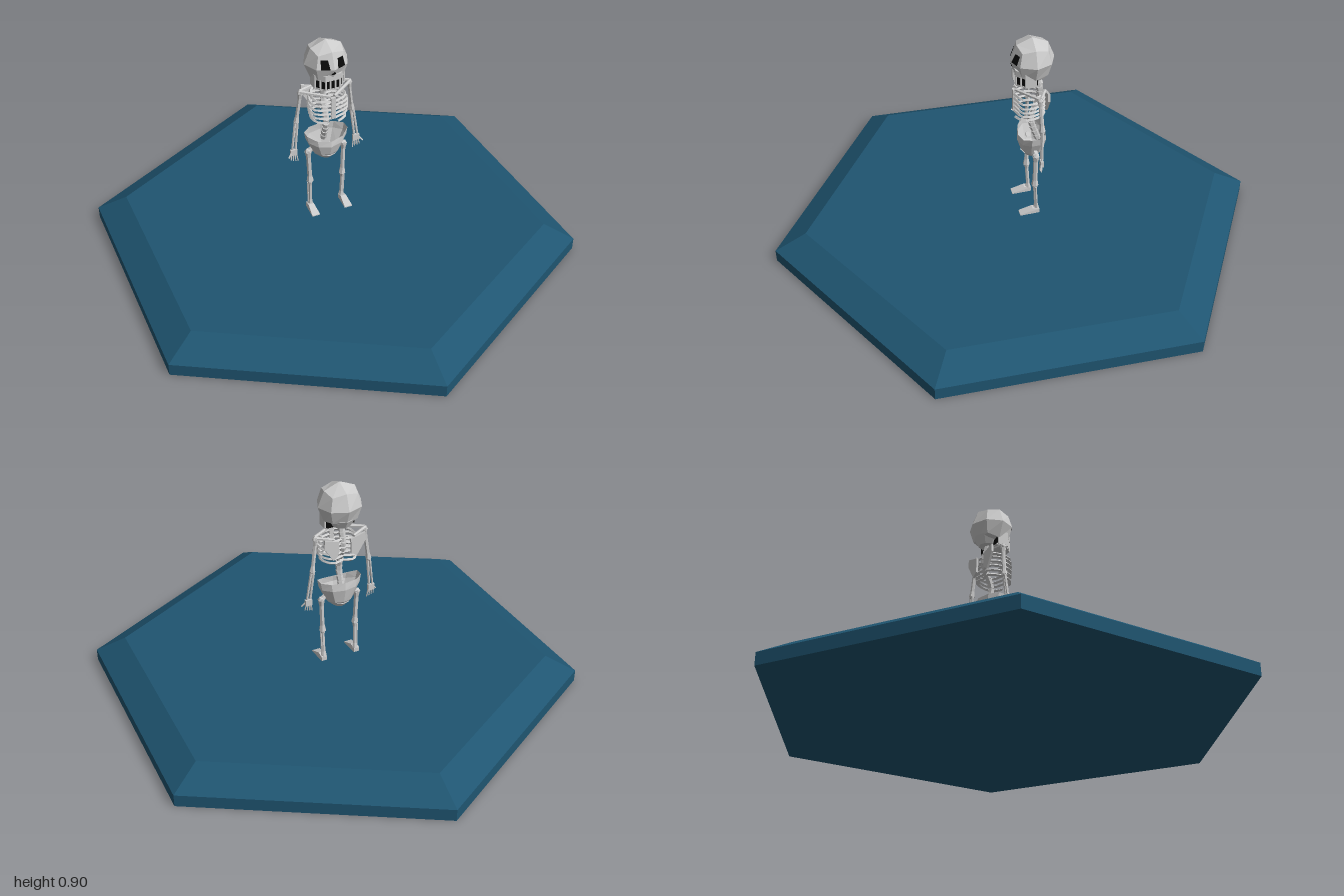
import * as THREE from 'three';

const bone = new THREE.MeshStandardMaterial({ color: 0xcccccc, flatShading: true, side: THREE.DoubleSide });
const dark = new THREE.MeshStandardMaterial({ color: 0x080808, flatShading: true, side: THREE.DoubleSide });
const blue = new THREE.MeshStandardMaterial({ color: 0x1f5571, flatShading: true });
const V = (x, y, z) => new THREE.Vector3(x, y, z);

function add(parent, name, geometry, material = bone, x = 0, y = 0, z = 0) {
  const mesh = new THREE.Mesh(geometry, material);
  mesh.name = name;
  mesh.position.set(x, y, z);
  parent.add(mesh);
  return mesh;
}

// Tapered rod between two points
function rod(parent, name, a, b, r0, r1 = r0, sides = 6) {
  const mesh = add(parent, name, new THREE.CylinderGeometry(r1, r0, a.distanceTo(b), sides));
  mesh.position.copy(a).lerp(b, 0.5);
  mesh.quaternion.setFromUnitVectors(V(0, 1, 0), b.clone().sub(a).normalize());
  return mesh;
}

// Slim shaft with thicker ends
function longBone(parent, name, a, b, r) {
  const p = a.clone().lerp(b, 0.18), q = a.clone().lerp(b, 0.82);
  rod(parent, name, p, q, r);
  rod(parent, name + 'Top', a, p, r * 1.5, r);
  rod(parent, name + 'End', q, b, r, r * 1.5);
}

const joint = (parent, name, p, r) => add(parent, name, new THREE.IcosahedronGeometry(r, 0), bone, p.x, p.y, p.z);

// Flat outline extruded upward from y0 to y1, outline points are [x, z]
function slab(parent, name, outline, y0, y1, material = bone) {
  const shape = new THREE.Shape(outline.map(([x, z]) => new THREE.Vector2(x, -z)));
  const geometry = new THREE.ExtrudeGeometry(shape, { depth: y1 - y0, bevelEnabled: false });
  geometry.rotateX(-Math.PI / 2);
  return add(parent, name, geometry, material, 0, y0, 0);
}

function buildBase(root) {
  add(root, 'baseRim', new THREE.CylinderGeometry(1, 1, 0.05, 6), blue, 0, 0.025, 0);
  add(root, 'baseTop', new THREE.CylinderGeometry(0.872, 1, 0.068, 6), blue, 0, 0.084, 0);
}

function buildHead(root) {
  const head = new THREE.Group();
  head.name = 'head';
  root.add(head);
  const R = 0.091, cy = 0.812, cz = -0.058;

  // Cranium: a cube of quads pushed out to a sphere
  const cube = new THREE.BoxGeometry(2, 2, 2, 2, 2, 2);
  const p = cube.attributes.position;
  for (let i = 0; i < p.count; i++) {
    const v = V(p.getX(i), p.getY(i), p.getZ(i)).normalize().multiplyScalar(R);
    p.setXYZ(i, v.x, v.y, v.z * 0.96);
  }
  add(head, 'cranium', cube, bone, 0, cy, cz);

  // Dark openings laid on the facets of the face
  const opening = (name, points) => {
    const g = new THREE.ShapeGeometry(new THREE.Shape(points.map(([x, y]) => new THREE.Vector2(x, y))));
    const q = g.attributes.position;
    for (let i = 0; i < q.count; i++) {
      const u = Math.abs(q.getX(i)) / R, v = Math.abs(q.getY(i) - cy) / R;
      q.setZ(i, cz + 0.96 * R * (1 - 0.405 * (u + v)) + 0.004);
    }
    add(head, name, g, dark);
  };
  for (const s of [-1, 1]) {
    opening('eyeSocket', [[s * 0.016, 0.814], [s * 0.05, 0.814], [s * 0.046, 0.85], [s * 0.02, 0.85]]);
  }
  opening('noseHole', [[-0.01, 0.79], [0, 0.788], [0.01, 0.79], [0, 0.806]]);

  // Jaw: dark mouth between upper jaw and chin, with teeth around it
  const arc = [[-0.063, -0.065], [-0.063, -0.02], [-0.032, 0.014], [0.032, 0.014], [0.063, -0.02], [0.063, -0.065]];
  slab(head, 'upperJaw', arc, 0.757, 0.783);
  slab(head, 'mouth', arc.map(([x, z]) => [x * 0.94, z - 0.003]), 0.72, 0.76, dark);
  slab(head, 'chin', arc.map(([x, z]) => [x * 0.96, z - 0.002]), 0.715, 0.722);
  for (const s of [-1, 1]) {
    add(head, 'jawSide', new THREE.BoxGeometry(0.006, 0.06, 0.045), bone, s * 0.061, 0.748, -0.04);
    for (const [x, z] of [[0.01, 0.012], [0.029, 0.012], [0.046, -0.004]]) {
      add(head, 'tooth', new THREE.BoxGeometry(0.006, 0.044, 0.006), bone, s * x, 0.74, z);
    }
  }
  add(head, 'skullBase', new THREE.CylinderGeometry(0.055, 0.035, 0.035, 8), bone, 0, 0.745, -0.075);
}

function buildTorso(root) {
  const torso = new THREE.Group();
  torso.name = 'torso';
  root.add(torso);

  // Vertebrae along a gently curved spine
  const spine = new THREE.CatmullRomCurve3([V(0, 0.74, -0.07), V(0, 0.64, -0.09), V(0, 0.54, -0.055), V(0, 0.43, -0.085)]);
  const count = 15;
  for (let i = 0; i < count; i++) {
    const a = spine.getPoint(i / count), b = spine.getPoint((i + 0.9) / count);
    rod(torso, 'vertebra', a, b, 0.014, 0.012);
  }

  // Six pairs of ribs, sternum
  add(torso, 'sternum', new THREE.BoxGeometry(0.02, 0.095, 0.01), bone, 0, 0.633, 0.014);
  for (let i = 0; i < 6; i++) {
    const y = 0.669 - i * 0.019, w = [0.066, 0.074, 0.076, 0.075, 0.072, 0.067][i];
    const tip = i < 5 ? 0.008 : 0.025;
    for (const s of [-1, 1]) {
      const path = new THREE.CatmullRomCurve3([
        V(0, y + 0.006, -0.088), V(s * w * 0.6, y + 0.004, -0.098), V(s * w, y, -0.055),
        V(s * w * 0.9, y - 0.004, -0.008), V(s * tip, y - 0.006, 0.014)]);
      add(torso, 'rib', new THREE.TubeGeometry(path, 10, 0.006, 4), bone);
    }
  }

  // Shoulder blades and collar bones
  for (const s of [-1, 1]) {
    const outline = [[0.025, 0.675], [0.085, 0.693], [0.088, 0.66], [0.05, 0.598], [0.028, 0.615]];
    const shape = new THREE.Shape(outline.map(([x, y]) => new THREE.Vector2(s * x, y)));
    add(torso, 'shoulderBlade', new THREE.ExtrudeGeometry(shape, { depth: 0.009, bevelEnabled: false }), bone, 0, 0, -0.11);
    rod(torso, 'collarBone', V(s * 0.008, 0.682, 0.008), V(s * 0.108, 0.69, -0.062), 0.007);
    rod(torso, 'shoulderSpine', V(s * 0.04, 0.682, -0.1), V(s * 0.108, 0.69, -0.068), 0.007);
  }
}

function buildPelvis(root) {
  // Open bowl: rings of [x radius, z radius, side height, front height]
  const rings = [[0.092, 0.055, 0.487, 0.462], [0.086, 0.058, 0.455, 0.437], [0.058, 0.045, 0.395, 0.395], [0.026, 0.026, 0.366, 0.368]];
  const n = 10, g = new THREE.CylinderGeometry(1, 1, 1, n, rings.length - 1, true);
  const p = g.attributes.position;
  for (let i = 0; i < p.count; i++) {
    const [rx, rz, side, front] = rings[Math.floor(i / (n + 1))];
    const x = p.getX(i), z = p.getZ(i);
    const k = Math.max(0, z) * (1 - x * x);
    p.setXYZ(i, x * rx, side + (front - side) * Math.min(1, k * 1.3), z * rz - 0.058);
  }
  add(root, 'pelvis', g);
  add(root, 'pelvisFloor', new THREE.CylinderGeometry(0.045, 0.026, 0.02, n), bone, 0, 0.377, -0.058);
}

function buildArm(root, s) {
  const arm = new THREE.Group();
  arm.name = s > 0 ? 'leftArm' : 'rightArm';
  root.add(arm);
  const shoulder = V(s * 0.104, 0.682, -0.066), elbow = V(s * 0.121, 0.55, -0.072), wrist = V(s * 0.136, 0.425, -0.066);
  joint(arm, 'shoulder', shoulder, 0.014);
  longBone(arm, 'upperArm', shoulder, elbow, 0.008);
  joint(arm, 'elbow', elbow, 0.012);
  for (const d of [-0.005, 0.005]) {
    rod(arm, 'forearm', elbow.clone().add(V(d, 0, 0)), wrist.clone().add(V(d * 1.4, 0, 0)), 0.006, 0.005);
  }
  // Palm and spread fingers
  add(arm, 'palm', new THREE.BoxGeometry(0.028, 0.026, 0.012), bone, s * 0.137, 0.41, -0.066);
  for (let i = 0; i < 4; i++) {
    const x = 0.126 + i * 0.007;
    rod(arm, 'finger', V(s * x, 0.402, -0.066), V(s * (x + (i - 1.8) * 0.003), 0.366 + 0.003 * i, -0.062), 0.0035, 0.0025, 5);
  }
  rod(arm, 'thumb', V(s * 0.146, 0.412, -0.064), V(s * 0.163, 0.392, -0.056), 0.004, 0.003, 5);
}

function buildLeg(root, s) {
  const leg = new THREE.Group();
  leg.name = s > 0 ? 'leftLeg' : 'rightLeg';
  root.add(leg);
  const hip = V(s * 0.078, 0.402, -0.058), knee = V(s * 0.072, 0.256, -0.056), ankle = V(s * 0.07, 0.136, -0.063);
  rod(leg, 'hipNeck', V(s * 0.055, 0.418, -0.058), hip, 0.011);
  joint(leg, 'hip', hip, 0.015);
  longBone(leg, 'thigh', hip, knee, 0.01);
  joint(leg, 'knee', knee, 0.014);
  longBone(leg, 'shin', knee, ankle, 0.008);
  rod(leg, 'calfBone', knee.clone().add(V(s * 0.009, -0.01, -0.003)), ankle.clone().add(V(s * 0.008, 0, 0)), 0.004);

  // Wedge foot, seen from the side and extruded across
  const shape = new THREE.Shape([[-0.074, 0.117], [0.008, 0.117], [0.008, 0.122], [-0.045, 0.142], [-0.074, 0.136]]
    .map(([z, y]) => new THREE.Vector2(-z, y)));
  const foot = new THREE.ExtrudeGeometry(shape, { depth: 0.034, bevelEnabled: false });
  foot.translate(0, 0, -0.017);
  foot.rotateY(Math.PI / 2);
  const p = foot.attributes.position;
  for (let i = 0; i < p.count; i++) if (p.getZ(i) < -0.04) p.setX(i, p.getX(i) * 0.7);
  add(leg, 'foot', foot, bone, s * 0.073, 0, 0);
}

export function createModel() {
  const root = new THREE.Group();
  root.name = 'skeletonOnBase';
  buildBase(root);
  buildHead(root);
  buildTorso(root);
  buildPelvis(root);
  for (const s of [-1, 1]) {
    buildArm(root, s);
    buildLeg(root, s);
  }
  return root;
}
